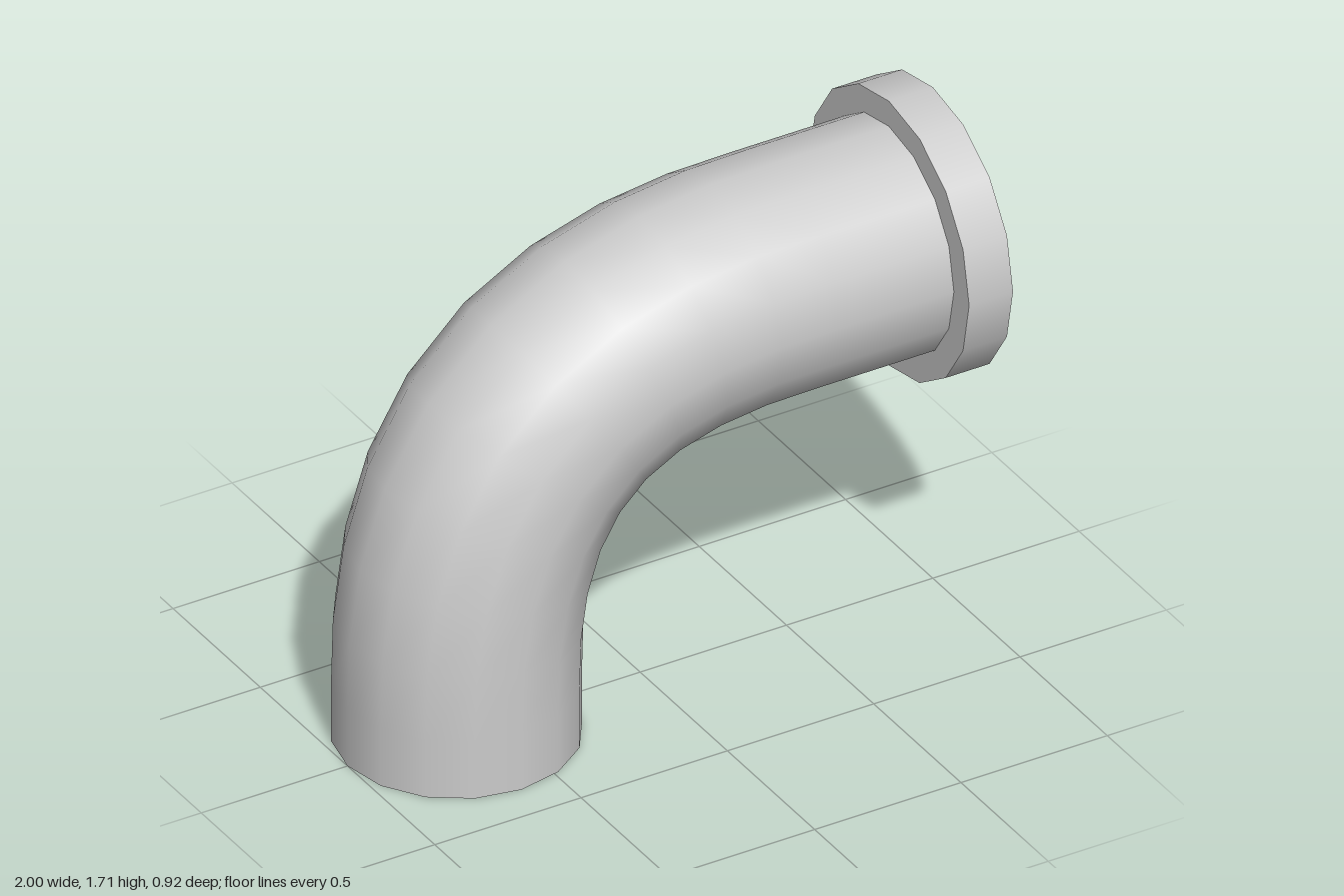
import * as THREE from 'three';

const SIDES = 16;
const PIPE_R = 0.3725, FLANGE_R = 0.46;
const AXIS_X = -0.6275, AXIS_Y = 1.25; // axes of the upright and level runs
const BEND = 1.0;                      // reach of the bend along each run
const FLANGE_X = 0.85;

export function createModel() {
  const group = new THREE.Group();
  const material = new THREE.MeshStandardMaterial({ color: 0xcccccc });
  const add = (name, geometry) => {
    const mesh = new THREE.Mesh(geometry, material);
    mesh.name = name;
    group.add(mesh);
    return mesh;
  };
  const v = (x, y) => new THREE.Vector3(x, y, 0);

  // Elbow pipe: upright run, curved bend, level run
  const bendStart = v(AXIS_X, AXIS_Y - BEND);
  const bendEnd = v(AXIS_X + BEND, AXIS_Y);
  const path = new THREE.CurvePath();
  path.add(new THREE.LineCurve3(v(AXIS_X, 0), bendStart));
  path.add(new THREE.QuadraticBezierCurve3(bendStart, v(AXIS_X, AXIS_Y), bendEnd));
  path.add(new THREE.LineCurve3(bendEnd, v(FLANGE_X, AXIS_Y)));
  add('elbowPipe', new THREE.TubeGeometry(path, 12, PIPE_R, SIDES, false));

  // Closed lower end of the pipe, facing down
  const cap = add('pipeEndCap', new THREE.CircleGeometry(PIPE_R, SIDES));
  cap.rotation.x = Math.PI / 2;
  cap.position.x = AXIS_X;

  // Flange disc on the level end
  const flange = add('flange', new THREE.CylinderGeometry(FLANGE_R, FLANGE_R, 1 - FLANGE_X, SIDES));
  flange.rotation.z = -Math.PI / 2;
  flange.position.set((1 + FLANGE_X) / 2, AXIS_Y, 0);

  return group;
}
